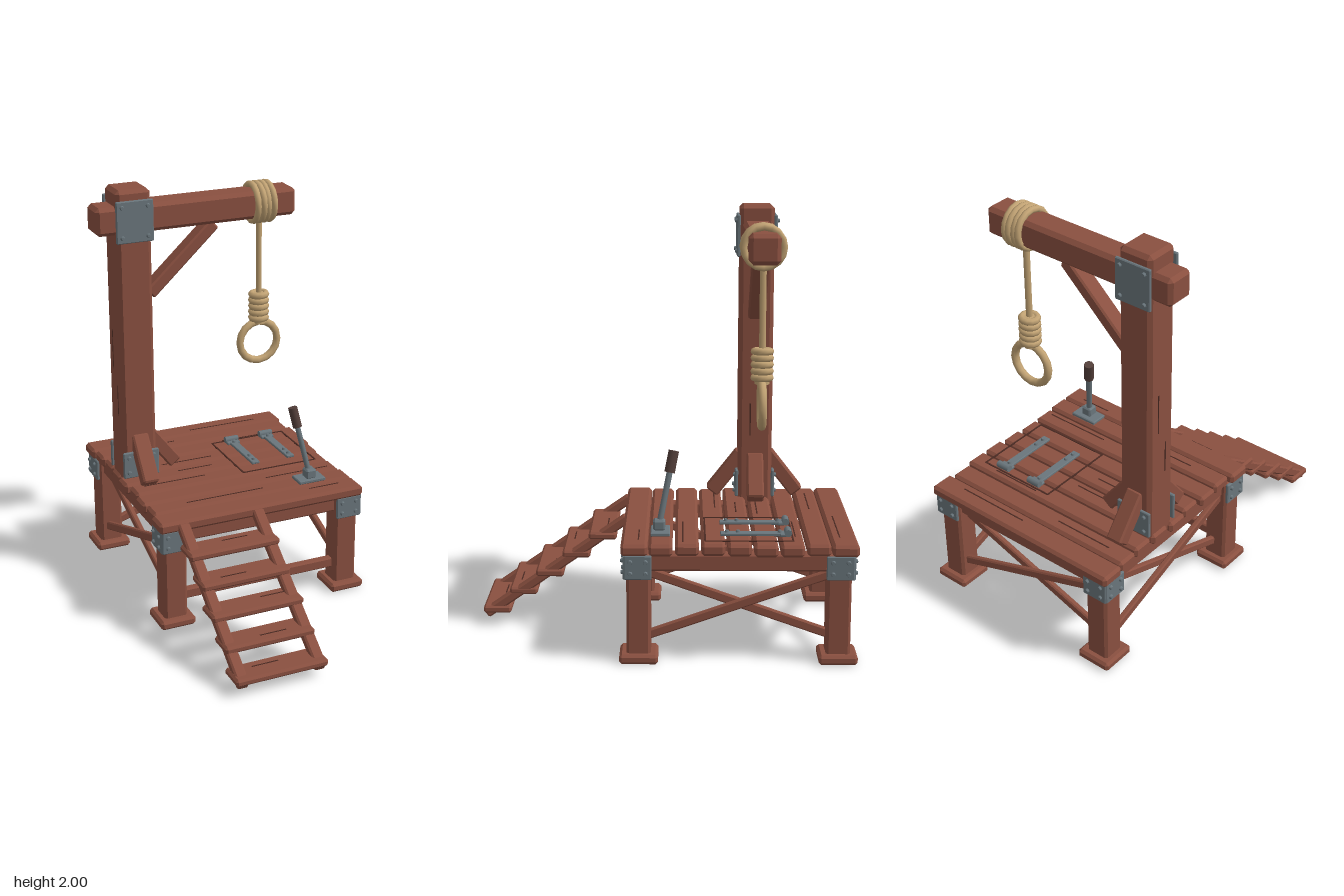
import * as THREE from 'three';
import { ConvexGeometry } from 'three/addons/geometries/ConvexGeometry.js';

const mat = (name, color, flatShading = false) => {
  const m = new THREE.MeshStandardMaterial({ color, flatShading });
  m.name = name;
  return m;
};

export function createModel() {
  const root = new THREE.Group();
  root.name = 'timberScaffold';
  const wood = mat('redBrownWood', 0x8a5040);
  const dark = mat('darkWoodGrain', 0x4a2a22);
  const metal = mat('greyIron', 0x6a767c);
  const rope = mat('tanRope', 0xc2a374);
  const grip = mat('darkGrip', 0x54403b);
  const V = (x, y, z) => new THREE.Vector3(x, y, z);

  const add = (name, geo, material, pos, parent = root) => {
    const m = new THREE.Mesh(geo, material);
    m.name = name;
    m.position.copy(pos);
    parent.add(m);
    return m;
  };

  // Box with chamfered edges: each corner becomes three points
  const bevelBox = (w, h, d, b = 0.012) => {
    const pts = [];
    for (const sx of [-1, 1]) for (const sy of [-1, 1]) for (const sz of [-1, 1]) {
      const x = w / 2, y = h / 2, z = d / 2;
      pts.push(V(sx * x, sy * (y - b), sz * (z - b)));
      pts.push(V(sx * (x - b), sy * y, sz * (z - b)));
      pts.push(V(sx * (x - b), sy * (y - b), sz * z));
    }
    return new ConvexGeometry(pts);
  };
  const timber = (name, w, h, d, x, y, z, b) => add(name, bevelBox(w, h, d, b), wood, V(x, y, z));

  // Aim a mesh whose length runs along y from p to q
  const aim = (mesh, p, q) => {
    mesh.position.copy(p).lerp(q, 0.5);
    mesh.quaternion.setFromUnitVectors(V(0, 1, 0), q.clone().sub(p).normalize());
    return mesh;
  };
  const strut = (name, p, q, w, d, b = 0.008) =>
    aim(add(name, bevelBox(w, p.distanceTo(q), d, b), wood, p), p, q);
  const rod = (name, p, q, r, material, sides = 8) =>
    aim(add(name, new THREE.CylinderGeometry(r, r, p.distanceTo(q), sides), material, p), p, q);

  // Iron plate with four rivets, turned about y to face outward
  const plate = (name, w, h, x, y, z, turn) => {
    const g = new THREE.Group();
    g.name = name;
    add('ironPlate', bevelBox(w, h, 0.016, 0.004), metal, V(0, 0, 0), g);
    for (const sx of [-1, 1]) for (const sy of [-1, 1]) {
      const r = add('rivet', new THREE.CylinderGeometry(0.008, 0.012, 0.012, 8), metal,
        V(sx * (w / 2 - 0.028), sy * (h / 2 - 0.028), 0.012), g);
      r.rotation.x = Math.PI / 2;
    }
    g.position.set(x, y, z);
    g.rotation.y = turn;
    root.add(g);
  };

  // Legs with feet and corner irons
  const legX = [-0.422, 0.48], legZ = [0.108, -0.79];
  legX.forEach((x, i) => legZ.forEach((z, j) => {
    const sx = i ? 1 : -1, sz = j ? -1 : 1;
    timber('leg', 0.116, 0.48, 0.11, x, 0.26, z);
    timber('foot', 0.175, 0.045, 0.175, x, 0.0225, z);
    plate('cornerIron', 0.13, 0.11, x + sx * 0.005, 0.45, z + sz * 0.063, j ? Math.PI : 0);
    plate('cornerIron', 0.125, 0.11, x + sx * 0.066, 0.45, z + sz * 0.003, sx * Math.PI / 2);
  }));

  // Rim beams under the deck, low front rail and crossed braces
  const midX = 0.029, midZ = -0.341;
  for (const z of legZ) timber('rimBeam', 0.8, 0.078, 0.07, midX, 0.463, z, 0.008);
  for (const x of legX) timber('rimBeam', 0.07, 0.078, 0.8, x, 0.463, midZ, 0.008);
  timber('frontRail', 0.82, 0.05, 0.04, midX, 0.135, legZ[0], 0.006);
  for (const s of [-1, 1]) {
    for (const x of legX)
      strut('sideBrace', V(x + s * 0.014, 0.265 - s * 0.145, 0.07), V(x + s * 0.014, 0.265 + s * 0.145, -0.75), 0.028, 0.042, 0.006);
    const z = legZ[1] + s * 0.014;
    strut('backBrace', V(-0.385, 0.265 - s * 0.14, z), V(0.44, 0.265 + s * 0.14, z), 0.042, 0.028, 0.006);
  }

  // Deck planks, slightly uneven at the ends, with grain cracks
  const ends = [0, 0.018, 0.008, 0.022, 0.006, 0.016, 0.02, 0.012, 0];
  const cracks = [[0.3, 0.46], [-0.3, 0.1], [0.16, 0.5], [-0.42, -0.1], [-0.2, -0.02], [-0.25, 0.02], [0.15, 0.4], [-0.38, -0.08], [0.05, 0.42]];
  for (let i = 0; i < 9; i++) {
    const z = 0.128 - i * 0.118, outer = i % 8 === 0;
    const x0 = -0.505 + ends[i], x1 = 0.56 - ends[(i + 3) % 9] * (outer ? 0.2 : 1);
    timber('deckPlank', x1 - x0, 0.055, outer ? 0.12 : 0.107, (x0 + x1) / 2, 0.528, z, 0.013);
    const [a, b] = cracks[i];
    add('grainCrack', new THREE.BoxGeometry(b - a, 0.004, 0.006), dark, V((a + b) / 2, 0.555, z + (i % 3 - 1) * 0.018));
  }

  // Trapdoor outline and strap hinges
  for (const z of [-0.585, -0.19]) add('trapdoorSeam', new THREE.BoxGeometry(0.4, 0.005, 0.008), dark, V(0.285, 0.5555, z));
  for (const x of [0.087, 0.483]) add('trapdoorSeam', new THREE.BoxGeometry(0.008, 0.005, 0.395), dark, V(x, 0.5555, -0.387));
  for (const x of [0.187, 0.38]) {
    add('hingeStrap', bevelBox(0.042, 0.014, 0.3, 0.003), metal, V(x, 0.562, -0.41));
    add('hingeLeaf', bevelBox(0.07, 0.014, 0.03, 0.003), metal, V(x, 0.562, -0.545));
    rod('hingeBarrel', V(x - 0.035, 0.572, -0.567), V(x + 0.035, 0.572, -0.567), 0.017, metal);
    for (const z of [-0.29, -0.34, -0.53]) add('rivet', new THREE.CylinderGeometry(0.008, 0.011, 0.012, 8), metal, V(x, 0.573, z));
  }

  // Upright post and cross beam
  const px = -0.39, pz = -0.445;
  timber('post', 0.172, 1.5, 0.166, px, 1.248, pz, 0.018);
  timber('crossBeam', 1.02, 0.135, 0.14, -0.06, 1.853, pz, 0.018);
  for (const s of [1, -1]) {
    const turn = s > 0 ? 0 : Math.PI;
    plate('topPlate', 0.184, 0.2, px, 1.85, pz + s * 0.089, turn);
    plate('basePlate', 0.184, 0.135, px, 0.628, pz + s * 0.089, turn);
    strut('postFoot', V(px, 0.57, pz + s * 0.212), V(px, 0.765, pz + s * 0.06), 0.082, 0.07);
  }
  strut('postFoot', V(-0.185, 0.575, pz), V(-0.33, 0.765, pz), 0.07, 0.082);
  strut('beamBrace', V(-0.3, 1.47, pz), V(0.035, 1.78, pz), 0.06, 0.082);
  for (const [y, z, h] of [[1.2, -0.47, 0.2], [0.95, -0.42, 0.16]])
    for (const s of [-1, 1]) add('postCrack', new THREE.BoxGeometry(0.004, h, 0.006), dark, V(px + s * 0.0855, y, z));

  // Rope windings, hanging rope, knot and loop
  const rx = 0.284;
  const ring = (name, R, r, x, y, sides = 16) =>
    add(name, new THREE.TorusGeometry(R, r, 8, sides), rope, V(x, y, pz));
  for (let i = 0; i < 4; i++) {
    const w = ring('beamWinding', 0.09, 0.016, rx + (i - 1.5) * 0.027, 1.853);
    w.rotation.y = Math.PI / 2 + (i % 2 ? 0.03 : -0.03);
  }
  rod('hangingRope', V(rx, 1.23, pz), V(rx, 1.78, pz), 0.015, rope);
  for (let i = 0; i < 5; i++) {
    const k = ring('knotCoil', 0.036, 0.017, rx, 1.264 + i * 0.03, 12);
    k.rotation.set(Math.PI / 2, 0.06, 0);
  }
  rod('knotCore', V(rx, 1.235, pz), V(rx, 1.395, pz), 0.034, rope);
  ring('loop', 0.102, 0.019, rx, 1.14, 16);

  // Lever
  const base = V(0.345, 0.59, 0.018), tip = V(0.283, 0.925, -0.048);
  const at = t => base.clone().lerp(tip, t);
  add('leverPlate', bevelBox(0.142, 0.018, 0.088, 0.004), metal, V(0.346, 0.564, 0.013));
  add('leverSocket', bevelBox(0.055, 0.05, 0.055, 0.008), metal, V(0.346, 0.595, 0.018));
  rod('leverRod', base, at(0.8), 0.014, metal);
  rod('leverGrip', at(0.71), tip, 0.024, grip);

  // Stairs
  for (const x of [-0.388, -0.009])
    strut('stringer', V(x, 0.05, 0.86), V(x, 0.53, 0.175), 0.055, 0.045);
  for (let i = 0; i < 5; i++) {
    const y = 0.075 + i * 0.0925, z = 0.806 - i * 0.128;
    timber('tread', i % 2 ? 0.44 : 0.452, 0.036, 0.134, -0.2, y, z, 0.01);
    add('treadCrack', new THREE.BoxGeometry(0.13, 0.004, 0.006), dark, V(-0.25 + (i % 3) * 0.08, y + 0.0175, z + (i % 2 ? 0.02 : -0.02)));
  }
  return root;
}
